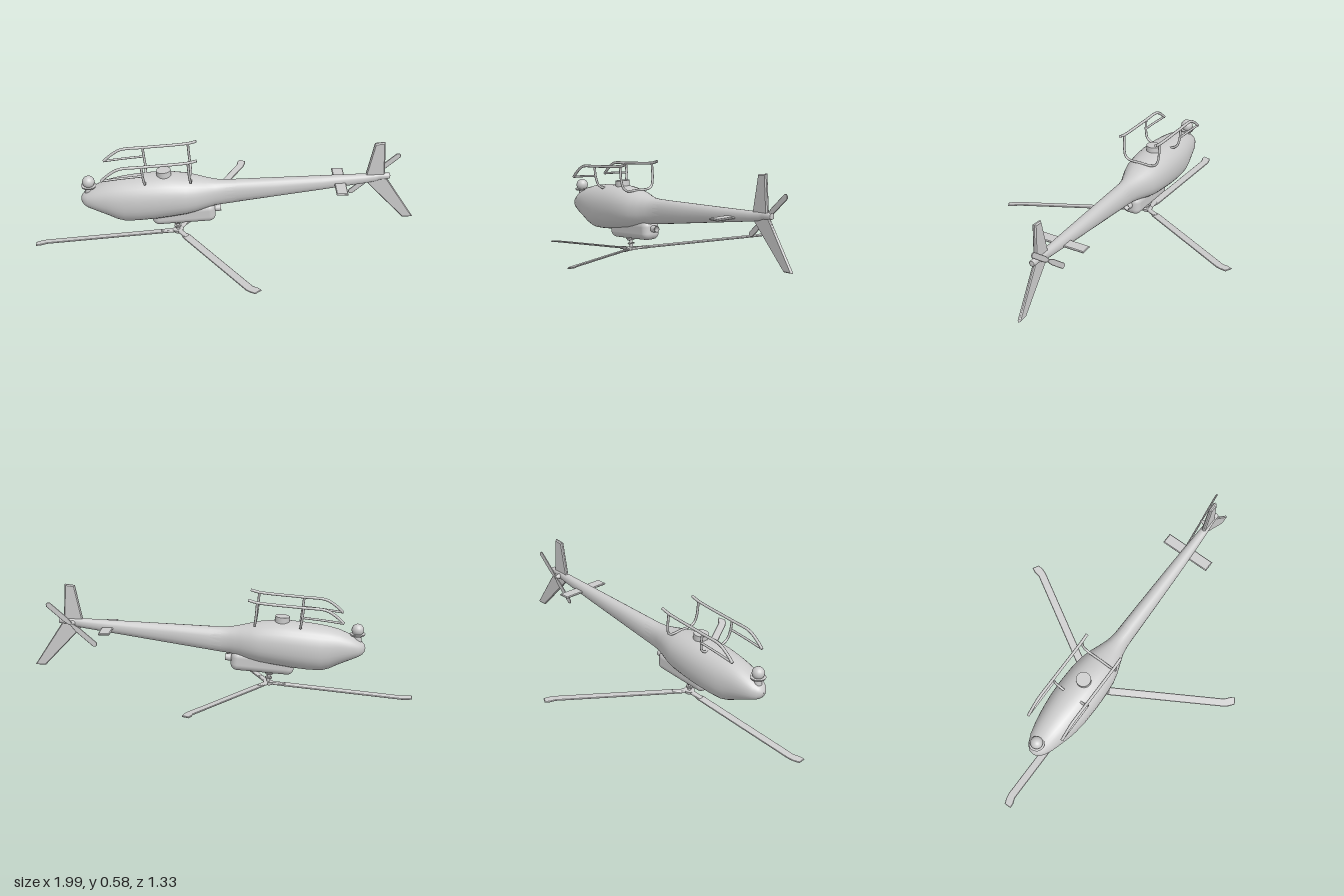
import * as THREE from 'three';
import { RoundedBoxGeometry } from 'three/addons/geometries/RoundedBoxGeometry.js';

const material = new THREE.MeshStandardMaterial({ color: 0xcccccc, side: THREE.DoubleSide });

function add(parent, name, geometry, x = 0, y = 0, z = 0) {
  const mesh = new THREE.Mesh(geometry, material);
  mesh.name = name;
  mesh.position.set(x, y, z);
  parent.add(mesh);
  return mesh;
}

// Skin over rounded sections along x: [x, top, bottom, half width, squareness]
function loft(stations, sides = 32) {
  const pos = [], index = [];
  const power = (v, n) => Math.sign(v) * Math.abs(v) ** (2 / n);
  stations.forEach(([x, top, bottom, w, n = 2.2], i) => {
    for (let j = 0; j < sides; j++) {
      const a = (j / sides) * Math.PI * 2;
      pos.push(x, (top + bottom) / 2 + ((top - bottom) / 2) * power(Math.sin(a), n), w * power(Math.cos(a), n));
      if (i === stations.length - 1) continue;
      const p = i * sides + j, q = i * sides + ((j + 1) % sides);
      index.push(p, p + sides, q, q, p + sides, q + sides);
    }
  });
  const g = new THREE.BufferGeometry();
  g.setAttribute('position', new THREE.Float32BufferAttribute(pos, 3));
  g.setIndex(index);
  g.computeVertexNormals();
  return g;
}

// Thin plate with softened edges, centred on its own plane
function plate(points, thickness, bevel) {
  const shape = new THREE.Shape(points.map(([x, y]) => new THREE.Vector2(x, y)));
  const depth = thickness - 2 * bevel;
  const g = new THREE.ExtrudeGeometry(shape, {
    depth, bevelEnabled: true, bevelThickness: bevel, bevelSize: bevel, bevelOffset: -bevel, bevelSegments: 1,
  });
  return g.translate(0, 0, -depth / 2);
}

function tube(points, radius, segments = 32) {
  const curve = new THREE.CatmullRomCurve3(points.map((p) => new THREE.Vector3(...p)), false, 'centripetal');
  return new THREE.TubeGeometry(curve, segments, radius, 8);
}

export function createModel() {
  const model = new THREE.Group();
  model.name = 'helicopter';
  const craft = new THREE.Group();
  craft.name = 'airframe';
  craft.rotation.set(0.018, -0.018, 0);
  model.add(craft);

  // Cabin shell, blending into the boom
  add(craft, 'fuselage', loft([
    [-0.746, 0.285, 0.283, 0.001], [-0.742, 0.3, 0.266, 0.02], [-0.73, 0.315, 0.25, 0.036],
    [-0.71, 0.328, 0.238, 0.052], [-0.67, 0.353, 0.222, 0.07], [-0.61, 0.379, 0.197, 0.086],
    [-0.56, 0.392, 0.173, 0.097], [-0.52, 0.4, 0.162, 0.104], [-0.45, 0.41, 0.165, 0.112],
    [-0.36, 0.418, 0.175, 0.115], [-0.28, 0.419, 0.187, 0.113], [-0.2, 0.411, 0.2, 0.105],
    [-0.15, 0.401, 0.212, 0.092], [-0.1, 0.39, 0.227, 0.073], [-0.05, 0.381, 0.24, 0.055],
    [0, 0.379, 0.246, 0.046], [0.06, 0.381, 0.255, 0.044],
  ]));
  add(craft, 'tailBoom', loft([
    [0, 0.379, 0.246, 0.046], [0.25, 0.388, 0.284, 0.04], [0.5, 0.397, 0.322, 0.033],
    [0.72, 0.406, 0.355, 0.023], [0.78, 0.41, 0.366, 0.018], [0.8, 0.41, 0.375, 0.016],
    [0.852, 0.411, 0.38, 0.015], [0.854, 0.408, 0.383, 0.012], [0.854, 0.396, 0.395, 0.001],
  ], 20));

  // Engine housing and exhaust below the cabin
  add(craft, 'engineHousing', new RoundedBoxGeometry(0.33, 0.105, 0.104, 5, 0.035), -0.215, 0.196, 0).rotation.z = 0.07;
  const exhaust = add(craft, 'exhaust', new THREE.LatheGeometry(
    [[0, 0], [0.018, 0], [0.018, 0.08], [0.014, 0.08], [0.014, 0.04], [0, 0.04]].map((p) => new THREE.Vector2(...p)), 20),
    -0.1, 0.211, 0);
  exhaust.rotation.z = -Math.PI / 2 + 0.07;

  // Roof drum and sensor ball
  add(craft, 'roofDrum', new THREE.CylinderGeometry(0.038, 0.038, 0.045, 28), -0.315, 0.422, 0).rotation.z = 0.08;
  add(craft, 'sensorMount', new THREE.CylinderGeometry(0.04, 0.036, 0.009, 24), -0.704, 0.355, 0);
  add(craft, 'sensorNeck', new THREE.CylinderGeometry(0.018, 0.022, 0.05, 16), -0.704, 0.335, 0);
  add(craft, 'sensorBall', new THREE.SphereGeometry(0.032, 24, 16), -0.704, 0.38, 0);

  // Landing skids with steps, mirrored
  for (const s of [1, -1]) {
    const z = s * 0.105;
    add(craft, 'skid', tube([
      [-0.63, 0.442, z], [-0.59, 0.478, z], [-0.54, 0.508, z], [-0.42, 0.52, z], [-0.19, 0.541, z], [-0.145, 0.553, z],
    ], 0.0075));
    add(craft, 'skidStep', tube([[-0.63, 0.442, z], [-0.52, 0.457, z], [-0.415, 0.468, z]], 0.006, 10));
    add(craft, 'frontStrut', tube([
      [-0.425, 0.52, z], [-0.418, 0.46, s * 0.103], [-0.412, 0.42, s * 0.092], [-0.41, 0.403, s * 0.072], [-0.41, 0.398, s * 0.05],
    ], 0.0065));
    add(craft, 'rearStrut', tube([
      [-0.19, 0.541, z], [-0.183, 0.46, s * 0.103], [-0.178, 0.422, s * 0.092], [-0.176, 0.408, s * 0.07], [-0.175, 0.407, 0],
    ], 0.0065));
  }

  // Tail surfaces
  add(craft, 'upperFin', plate([[0.725, 0.39], [0.765, 0.585], [0.817, 0.591], [0.828, 0.395]], 0.02, 0.006));
  add(craft, 'lowerFin', plate([[0.725, 0.37], [0.935, 0.147], [0.99, 0.148], [0.83, 0.395]], 0.016, 0.005));
  const stabilizer = add(craft, 'stabilizer', plate(
    [[0.565, -0.138], [0.625, -0.138], [0.625, 0.138], [0.565, 0.138]], 0.011, 0.004), 0, 0.363, 0);
  stabilizer.rotation.x = -Math.PI / 2;

  // Tail rotor on the right side of the boom
  const tailRotor = new THREE.Group();
  tailRotor.name = 'tailRotor';
  tailRotor.position.set(0.78, 0.384, -0.044);
  craft.add(tailRotor);
  add(tailRotor, 'tailRotorHub', new THREE.CylinderGeometry(0.016, 0.006, 0.04, 16), 0, 0, 0.015).rotation.x = Math.PI / 2;
  for (let i = 0; i < 2; i++) {
    const blade = add(tailRotor, 'tailBlade', plate(
      [[0, -0.008], [0.04, -0.015], [0.16, -0.015], [0.17, -0.006], [0.17, 0.006], [0.16, 0.015], [0.04, 0.015], [0, 0.008]], 0.005, 0.002));
    blade.rotation.z = 0.72 + i * Math.PI;
  }

  // Main rotor hanging beneath the housing
  const rotor = new THREE.Group();
  rotor.name = 'mainRotor';
  rotor.position.set(-0.245, 0.081, 0);
  rotor.rotation.z = 0.102;
  craft.add(rotor);
  add(rotor, 'mast', new THREE.CylinderGeometry(0.009, 0.009, 0.09, 16), 0, 0.035, 0);
  add(rotor, 'swashplate', new THREE.CylinderGeometry(0.018, 0.018, 0.007, 20), 0, 0.028, 0);
  add(rotor, 'mastCollar', new THREE.CylinderGeometry(0.025, 0.018, 0.012, 20), 0, 0.052, 0);
  add(rotor, 'hub', new THREE.CylinderGeometry(0.028, 0.024, 0.016, 24));
  for (const angle of [Math.PI, Math.PI / 3, -Math.PI / 3]) {
    const arm = new THREE.Group();
    arm.name = 'bladeArm';
    arm.rotation.set(0, angle, 0.01);
    rotor.add(arm);
    add(arm, 'bladeGrip', new RoundedBoxGeometry(0.08, 0.015, 0.026, 2, 0.005), 0.05, 0, 0);
    // Blade with swept tip
    const blade = add(arm, 'blade', plate([
      [0.04, -0.01], [0.085, -0.021], [0.7, -0.021], [0.728, -0.016], [0.757, -0.004],
      [0.757, 0.034], [0.73, 0.032], [0.7, 0.021], [0.085, 0.021], [0.04, 0.01],
    ].map(([x, y]) => [x, y]), 0.007, 0.0025));
    blade.rotation.x = -Math.PI / 2 + 0.1;
  }

  // Rest the lowest point on the ground
  model.updateMatrixWorld(true);
  craft.position.y -= new THREE.Box3().setFromObject(model, true).min.y;
  return model;
}
